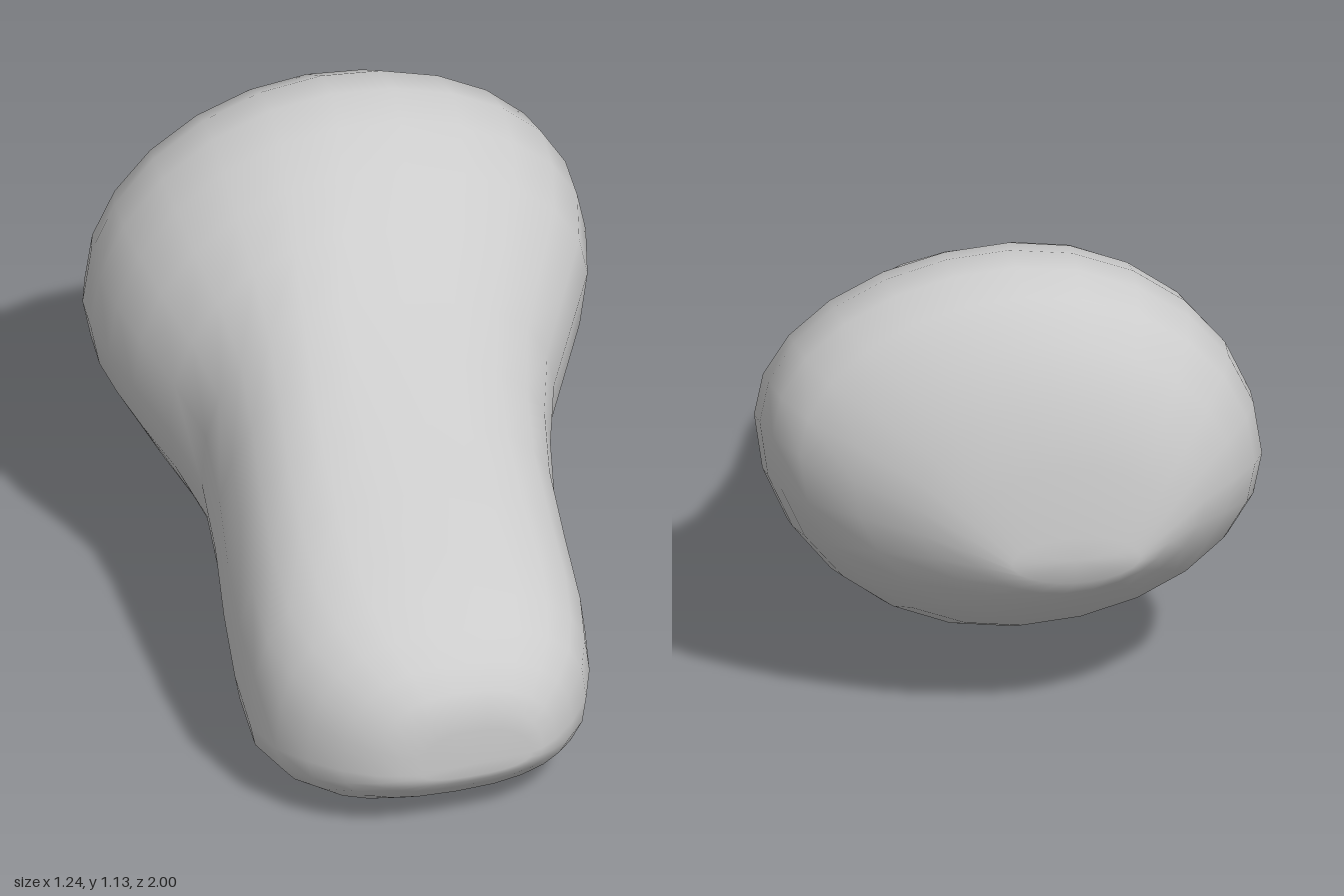
import * as THREE from 'three';

const SIDES = 24, RINGS = 20;

// Four guide rails run from the front tip to the back tip, through shared z stations
const stations = [1, 0.975, 0.86, 0.66, 0.3, -0.06, -0.36, -0.6, -0.78, -0.935, -1];
const rail = (xs, ys) => new THREE.CatmullRomCurve3(
  stations.map((z, i) => new THREE.Vector3(xs[i], ys[i], z)), false, 'catmullrom', 0.5);

const leftEdge = rail(
  [-0.27, -0.38, -0.52, -0.605, -0.56, -0.505, -0.585, -0.62, -0.58, -0.43, -0.26],
  [0.18, 0.18, 0.18, 0.18, 0.27, 0.43, 0.54, 0.575, 0.60, 0.58, 0.47]);
const rightEdge = rail(
  [0.01, 0.08, 0.195, 0.255, 0.29, 0.40, 0.58, 0.62, 0.55, 0.29, 0.06],
  [0.19, 0.20, 0.23, 0.29, 0.44, 0.54, 0.65, 0.72, 0.70, 0.61, 0.47]);
const topRidge = rail(
  [-0.16, -0.18, -0.20, -0.20, -0.19, -0.14, -0.05, 0, -0.01, -0.07, -0.10],
  [0.28, 0.38, 0.49, 0.595, 0.735, 0.885, 1.05, 1.135, 1.085, 0.86, 0.53]);
const bottomRidge = rail(
  [-0.15, -0.16, -0.16, -0.16, -0.14, -0.08, 0.0, 0.02, 0.0, -0.05, -0.10],
  [0.15, 0.11, 0.025, 0, 0.03, 0.08, 0.10, 0.145, 0.21, 0.33, 0.41]);

// One cross-section: four superellipse quarters joining the rails,
// boxier in the front lobe and elliptical in the back lobe
function ring(t) {
  const [left, right, top, bottom] =
    [leftEdge, rightEdge, topRidge, bottomRidge].map((curve) => curve.getPoint(t));
  const power = 2 / THREE.MathUtils.lerp(2.42, 1.97, THREE.MathUtils.smoothstep(t, 0.3, 0.65));
  const points = [];
  for (let j = 0; j < SIDES; j++) {
    const angle = (j / SIDES) * Math.PI * 2;
    const c = Math.cos(angle), s = Math.sin(angle);
    const side = c >= 0 ? right : left, ridge = s >= 0 ? top : bottom;
    points.push(
      THREE.MathUtils.lerp(ridge.x, side.x, Math.abs(c) ** power),
      THREE.MathUtils.lerp(side.y, ridge.y, Math.abs(s) ** power),
      side.z);
  }
  return points;
}

function loft() {
  const positions = [], index = [];
  for (let i = 0; i <= RINGS; i++) positions.push(...ring(i / RINGS));

  // Centre points of the two end caps
  const last = RINGS * SIDES, front = last + SIDES, back = front + 1;
  for (const t of [0, 1]) {
    positions.push(...leftEdge.getPoint(t).lerp(rightEdge.getPoint(t), 0.5));
  }

  for (let j = 0; j < SIDES; j++) {
    const k = (j + 1) % SIDES;
    for (let r = 0; r < last; r += SIDES) {
      const a = r + j, b = r + k, c = a + SIDES, d = b + SIDES;
      index.push(a, c, b, b, c, d);
    }
    index.push(front, j, k, back, last + k, last + j);
  }

  const geometry = new THREE.BufferGeometry();
  geometry.setAttribute('position', new THREE.Float32BufferAttribute(positions, 3));
  geometry.setIndex(index);
  geometry.computeVertexNormals();
  return geometry;
}

export function createModel() {
  const group = new THREE.Group();
  group.name = 'smoothStone';
  // Single rounded body: low front lobe, narrow waist, broad raised back lobe
  const body = new THREE.Mesh(loft(), new THREE.MeshStandardMaterial({ color: 0xcccccc }));
  body.name = 'body';
  group.add(body);
  return group;
}
